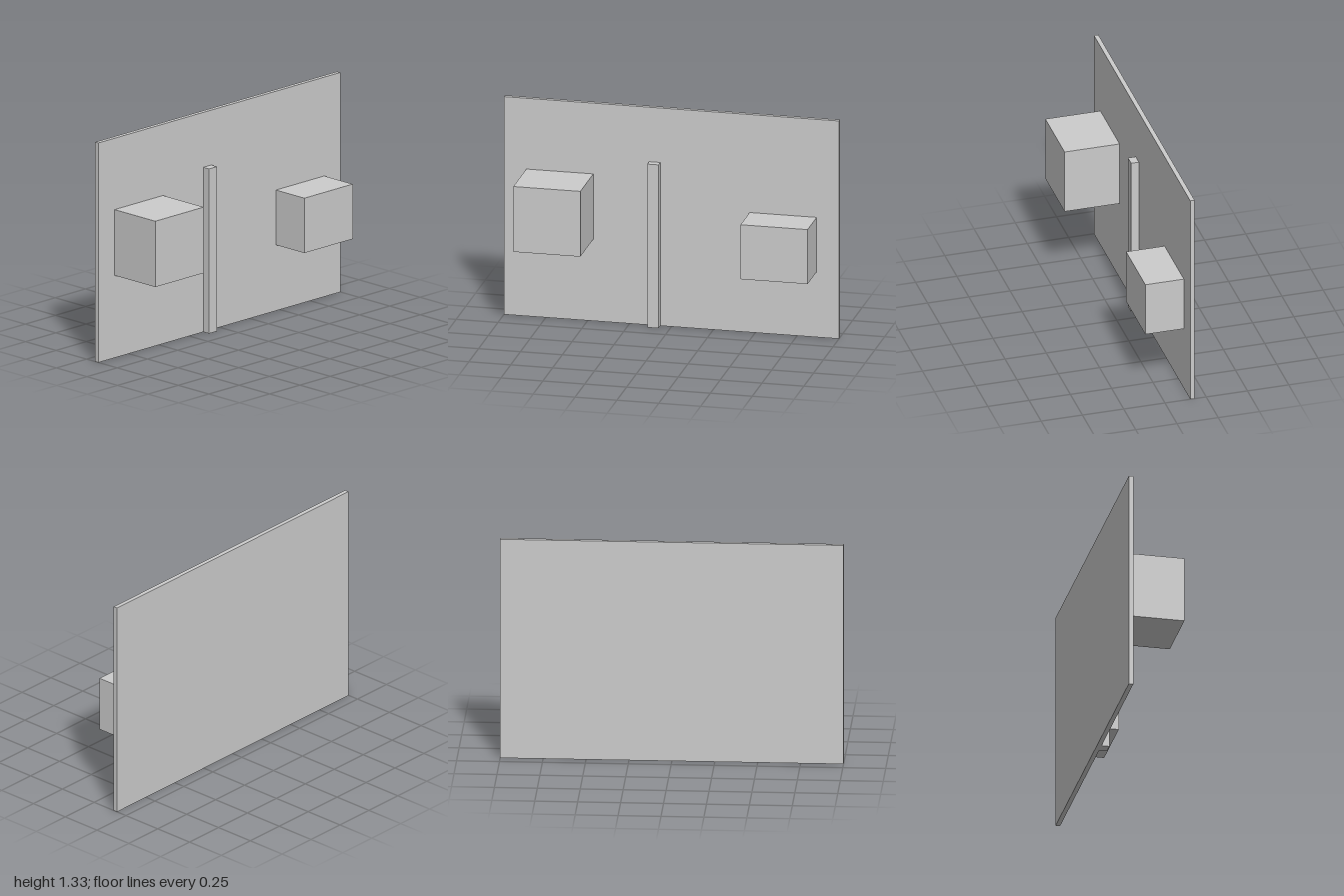
import * as THREE from 'three';

const BACK = -0.18;
const WALL = -0.1533; // front face of the panel

export function createModel() {
  const group = new THREE.Group();
  const material = new THREE.MeshStandardMaterial({ color: 0xcccccc, flatShading: true });

  // Box given by its extents along each axis
  const addBox = (name, [x0, x1], [y0, y1], [z0, z1]) => {
    const mesh = new THREE.Mesh(new THREE.BoxGeometry(x1 - x0, y1 - y0, z1 - z0), material);
    mesh.position.set((x0 + x1) / 2, (y0 + y1) / 2, (z0 + z1) / 2);
    mesh.name = name;
    group.add(mesh);
  };

  // Thin upright panel
  addBox('backPanel', [-1, 1], [0, 1.3333], [BACK, WALL]);
  // Parts standing out from its front
  addBox('largeBox', [-0.8667, -0.4667], [0.5, 0.9], [WALL, 0.18]);
  addBox('smallBox', [0.4667, 0.8667], [0.4, 0.7333], [WALL, 0.08]);
  addBox('verticalBar', [-0.1333, -0.0667], [0, 1], [WALL, -0.1067]);

  return group;
}
